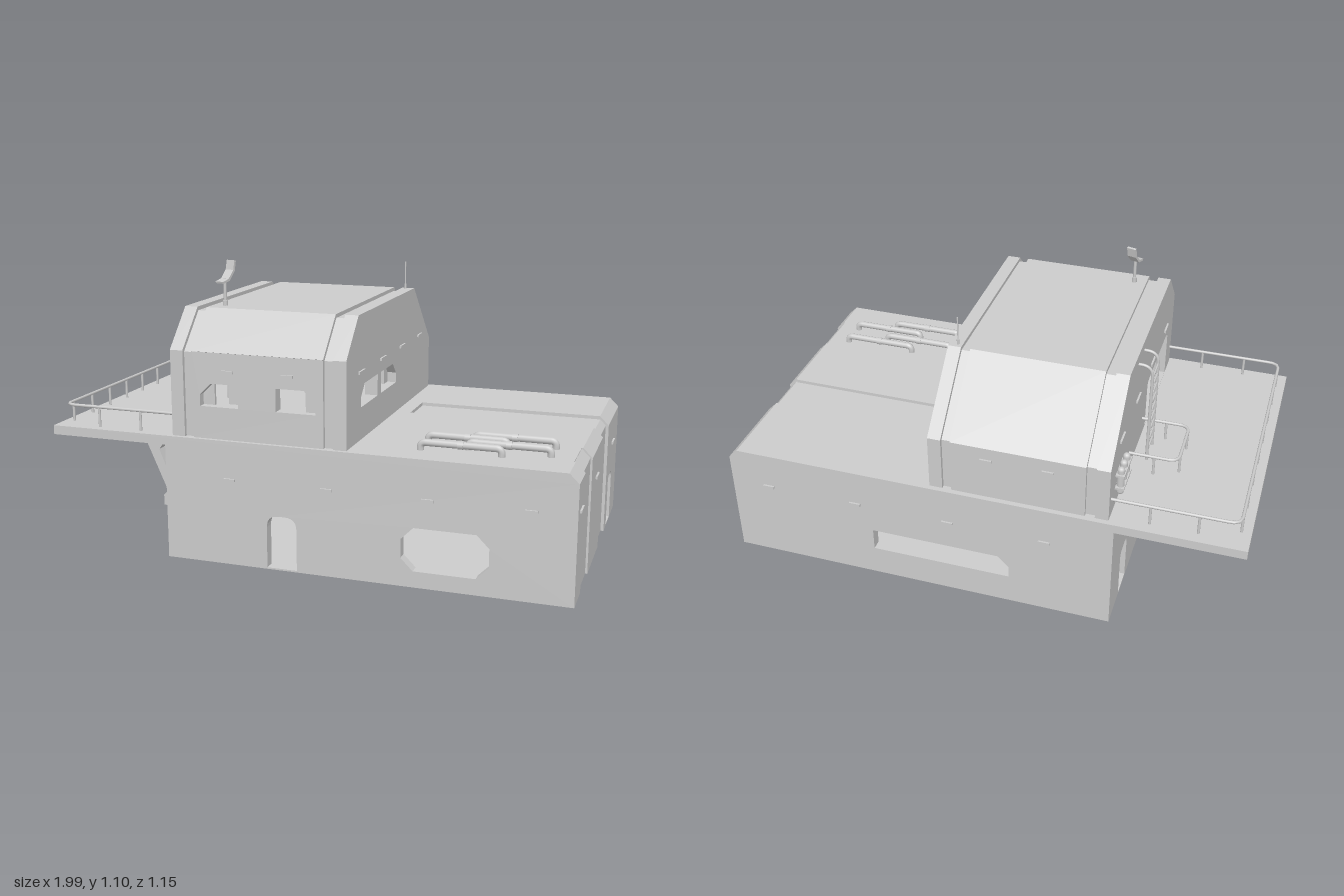
import * as THREE from 'three';

const mat = new THREE.MeshStandardMaterial({ color: 0xcccccc, side: THREE.DoubleSide });

export function createModel() {
  const root = new THREE.Group();
  const add = (name, geo, x = 0, y = 0, z = 0, parent = root) => {
    const m = new THREE.Mesh(geo, mat);
    m.name = name;
    m.position.set(x, y, z);
    parent.add(m);
    return m;
  };
  // box given by its limits
  const box = (name, x0, x1, y0, y1, z0, z1) =>
    add(name, new THREE.BoxGeometry(x1 - x0, y1 - y0, z1 - z0), (x0 + x1) / 2, (y0 + y1) / 2, (z0 + z1) / 2);
  const extrude = (pts, depth, holes = []) => {
    const s = new THREE.Shape(pts.map(p => new THREE.Vector2(...p)));
    s.holes = holes.map(h => (h instanceof THREE.Path ? h : new THREE.Path(h.map(p => new THREE.Vector2(...p)))));
    return new THREE.ExtrudeGeometry(s, { depth, bevelEnabled: false, curveSegments: 6 });
  };
  // outline in (x, y), solid between z0 and z1
  const alongZ = (name, pts, z0, z1, holes) => add(name, extrude(pts, z1 - z0, holes), 0, 0, z0);
  // outline in (z, y), solid between x0 and x1
  const alongX = (name, pts, x0, x1, holes) => {
    const m = add(name, extrude(pts, x1 - x0, holes), x1);
    m.rotation.y = -Math.PI / 2;
    return m;
  };
  const rect = (a, b, c, d) => [[a, c], [b, c], [b, d], [a, d]];
  // opening with rounded upper corners
  const door = (a, b, y0, y1, r = 0.03) => {
    const p = new THREE.Path();
    p.moveTo(a, y0).lineTo(b, y0).lineTo(b, y1 - r).quadraticCurveTo(b, y1, b - r, y1);
    p.lineTo(a + r, y1).quadraticCurveTo(a, y1, a, y1 - r).lineTo(a, y0);
    return p;
  };
  // window with the upper corner cut on the side of "tip"
  const cutWindow = (tip, end, y0, y1) => {
    const c = Math.sign(end - tip) * 0.043;
    return [[tip, y0], [end, y0], [end, y1], [tip + c, y1], [tip, y1 - 0.043]];
  };
  // tube through points, with rounded corners
  const pipe = (name, pts, radius, corner) => {
    const v = pts.map(p => new THREE.Vector3(...p));
    const path = new THREE.CurvePath();
    let last = v[0];
    for (let i = 1; i < v.length - 1; i++) {
      const a = v[i].clone().lerp(v[i - 1], corner / v[i].distanceTo(v[i - 1]));
      const b = v[i].clone().lerp(v[i + 1], corner / v[i].distanceTo(v[i + 1]));
      path.add(new THREE.LineCurve3(last, a));
      path.add(new THREE.QuadraticBezierCurve3(a, v[i], b));
      last = b;
    }
    path.add(new THREE.LineCurve3(last, v[v.length - 1]));
    return add(name, new THREE.TubeGeometry(path, 90, radius, 8, false));
  };
  const rod = (name, r, x, y0, y1, z) =>
    add(name, new THREE.CylinderGeometry(r, r, y1 - y0, 12), x, (y0 + y1) / 2, z);

  // ---- Lower hall ----
  const H = 0.435, T = 0.47, Z = 0.57, X0 = -0.53, X1 = 0.985;
  box('hallFloor', X0, X1 - 0.016, 0, 0.006, -Z, Z);
  const octagon = [[0.42, 0.06], [0.645, 0.06], [0.69, 0.105], [0.69, 0.175],
    [0.645, 0.22], [0.42, 0.22], [0.375, 0.175], [0.375, 0.105]];
  alongZ('hallFrontWall', rect(X0, X1, 0, H), Z - 0.04, Z, [door(-0.13, -0.015, 0.004, 0.205, 0.045), octagon]);
  alongZ('hallBackWall', rect(X0, X1, 0, H), -Z, -Z + 0.04, [cutWindow(-0.14, 0.405, 0.12, 0.21)]);
  alongX('hallRightWall', rect(-0.53, 0.53, 0, H), X0, X0 + 0.04, [door(-0.415, -0.305, 0.004, 0.205)]);

  // end wall in bands, some set back, each with a sloped top edge
  const bands = [[0.43, Z, 0], [0.245, 0.43, 0.008], [-0.05, 0.245, 0], [-0.235, -0.05, 0.012], [-Z, -0.235, 0]];
  bands.forEach(([z0, z1, inset], i) => {
    const a = Math.max(z0, -0.53), b = Math.min(z1, 0.53), x = X1 - inset;
    alongX('hallEndPanel', rect(a, b, 0, H), 0.945, x, i === 4 ? [door(-0.415, -0.305, 0.004, 0.205)] : []);
    const top = i === 3 ? 0.457 : T;
    alongZ('hallEndEave', [[0.94, H], [x, H], [x - (top - H), top], [0.94, top]], z0, z1);
  });

  // roof slab running out into the deck, notched for the sunken roof panel
  const slab = add('roofAndDeck', extrude([[-1, -Z], [0.945, -Z], [0.945, -0.235], [0.23, -0.235],
    [0.23, -0.055], [0.945, -0.055], [0.945, Z], [-1, Z]], T - H), 0, T, 0);
  slab.rotation.x = Math.PI / 2;
  box('sunkenRoofPanel', 0.23, 0.945, H, 0.457, -0.235, -0.055);

  // ---- Upper cabin ----
  const arch = i => [[0.555 - i, T], [0.555 - i, 0.79 - 0.414 * i], [0.42 - 0.414 * i, 0.93 - i],
    [-0.305 + 0.414 * i, 0.93 - i], [-0.55 + i, 0.685 - 0.414 * i], [-0.55 + i, T]];
  const inner = arch(0.045).reverse();
  alongX('cabinRightWall', arch(0), -0.505, -0.455, [door(0.055, 0.45, 0.472, 0.672)]);
  alongX('cabinLeftWall', arch(0), 0.12, 0.17,
    [cutWindow(0.39, 0.19, 0.59, 0.672), cutWindow(-0.05, 0.15, 0.59, 0.672)]);
  for (const x of [-0.455, 0.085]) alongX('cabinGroove', [...arch(0.014), ...inner], x, x + 0.037);
  alongX('cabinRoofShell', [...arch(0).slice(1), ...inner.slice(0, 5)], -0.418, 0.085);
  alongZ('cabinFrontWall', rect(-0.418, 0.085, T, 0.789), 0.51, 0.555,
    [cutWindow(-0.39, -0.24, 0.59, 0.675), cutWindow(0.055, -0.095, 0.59, 0.675)]);
  // closed cheeks behind the cut window corners
  box('windowCheek', 0.123, 0.135, 0.585, 0.677, 0.347, 0.395);
  box('windowCheek', 0.123, 0.135, 0.585, 0.677, -0.055, -0.005);
  box('windowCheek', -0.395, -0.345, 0.585, 0.68, 0.513, 0.525);
  box('windowCheek', 0.008, 0.06, 0.585, 0.68, 0.513, 0.525);

  // ---- Small marker lights ----
  const lightX = (x, y, zs) => zs.forEach(z => box('markerLight', x - 0.007, x + 0.007, y - 0.005, y + 0.005, z - 0.032, z + 0.032));
  const lightZ = (z, y, xs) => xs.forEach(x => box('markerLight', x - 0.022, x + 0.022, y - 0.005, y + 0.005, z - 0.007, z + 0.007));
  lightX(0.17, 0.722, [0.39, 0.13, -0.13, -0.39]);
  lightX(-0.505, 0.722, [0.39, 0.13, -0.13, -0.39]);
  lightX(X1, 0.328, [0.5, 0.095, -0.405]);
  lightZ(Z, 0.325, [-0.275, 0.1, 0.47, 0.83]);
  lightZ(-Z, 0.325, [-0.275, 0.1, 0.47, 0.83]);
  lightZ(0.555, 0.722, [-0.28, -0.05]);
  lightZ(-0.55, 0.633, [-0.28, -0.05]);

  // ---- Deck railings ----
  const R = 0.547;
  pipe('deckRail', [[-0.505, R, 0.535], [-0.963, R, 0.535], [-0.963, R, -0.523], [-0.505, R, -0.523]], 0.006, 0.04);
  for (const x of [-0.82, -0.647]) for (const z of [0.535, -0.523]) rod('railPost', 0.005, x, T, R, z);
  for (let i = 0; i < 8; i++) rod('railPost', 0.005, -0.963, T, R, -0.47 + i * 0.136);
  pipe('ladderGuardRail', [[-0.505, R, -0.01], [-0.69, R, -0.01], [-0.69, R, -0.24], [-0.505, R, -0.24]], 0.006, 0.04);
  for (const z of [-0.05, -0.2]) rod('railPost', 0.005, -0.69, T, R, z);
  for (const z of [-0.01, -0.24]) rod('railPost', 0.005, -0.6, T, R, z);

  // ---- Ladder ----
  for (const z of [-0.06, -0.16])
    pipe('ladderSide', [[-0.558, T, z], [-0.558, 0.887, z], [-0.5, 0.887, z]], 0.006, 0.045);
  for (let i = 0; i < 9; i++)
    add('ladderRung', new THREE.CylinderGeometry(0.004, 0.004, 0.1, 8), -0.558, 0.51 + i * 0.041, -0.11).rotation.x = Math.PI / 2;

  // ---- Gas bottles on the cabin wall ----
  for (const z of [-0.45, -0.407, -0.364])
    add('gasBottle', new THREE.CapsuleGeometry(0.014, 0.09, 4, 12), -0.521, 0.58, z);
  for (const y of [0.55, 0.605]) box('bottleStrap', -0.538, -0.505, y, y + 0.008, -0.47, -0.345);

  // ---- Roof pipes ----
  [[0.29, 0.57, 0.862], [0.343, 0.41, 0.7], [0.398, 0.57, 0.862], [0.45, 0.41, 0.7]].forEach(([z, a, b]) => {
    pipe('roofPipe', [[a, T, z], [a, 0.498, z], [b, 0.498, z], [b, T, z]], 0.013, 0.02);
    add('pipeCollar', new THREE.CylinderGeometry(0.015, 0.015, 0.02, 12), (a + b) / 2, 0.498, z).rotation.z = Math.PI / 2;
  });

  // ---- Deck strut ----
  alongZ('deckStrut', [[-0.965, H], [-0.965, 0.415], [-0.81, 0.065], [-0.83, 0.045], [-0.83, 0], [-0.725, 0], [-0.725, H]],
    -0.03, 0.03, [
      [[-0.925, 0.41], [-0.79, 0.41], [-0.86, 0.275]],
      [[-0.845, 0.245], [-0.76, 0.36], [-0.76, 0.065], [-0.772, 0.065]],
    ]);

  // ---- Antennas ----
  rod('whipBase', 0.005, 0.138, 0.93, 0.95, -0.285);
  rod('whipAntenna', 0.0025, 0.138, 0.93, 1.04, -0.285);
  const dish = new THREE.Group();
  dish.name = 'dishAntenna';
  dish.position.set(-0.37, 0.93, 0.36);
  dish.rotation.y = -0.25;
  root.add(dish);
  add('dishFoot', new THREE.CylinderGeometry(0.01, 0.01, 0.02, 10), 0, 0.01, 0, dish);
  add('dishMast', new THREE.CylinderGeometry(0.006, 0.006, 0.1, 10), 0, 0.05, 0, dish);
  const plate = add('dishPlate', extrude([[0.032, 0.092], [0, 0.1], [-0.028, 0.13], [-0.036, 0.165],
    [-0.045, 0.163], [-0.037, 0.126], [-0.006, 0.092], [0.03, 0.085]], 0.036), 0.018, 0, 0, dish);
  plate.rotation.y = -Math.PI / 2;

  return root;
}
